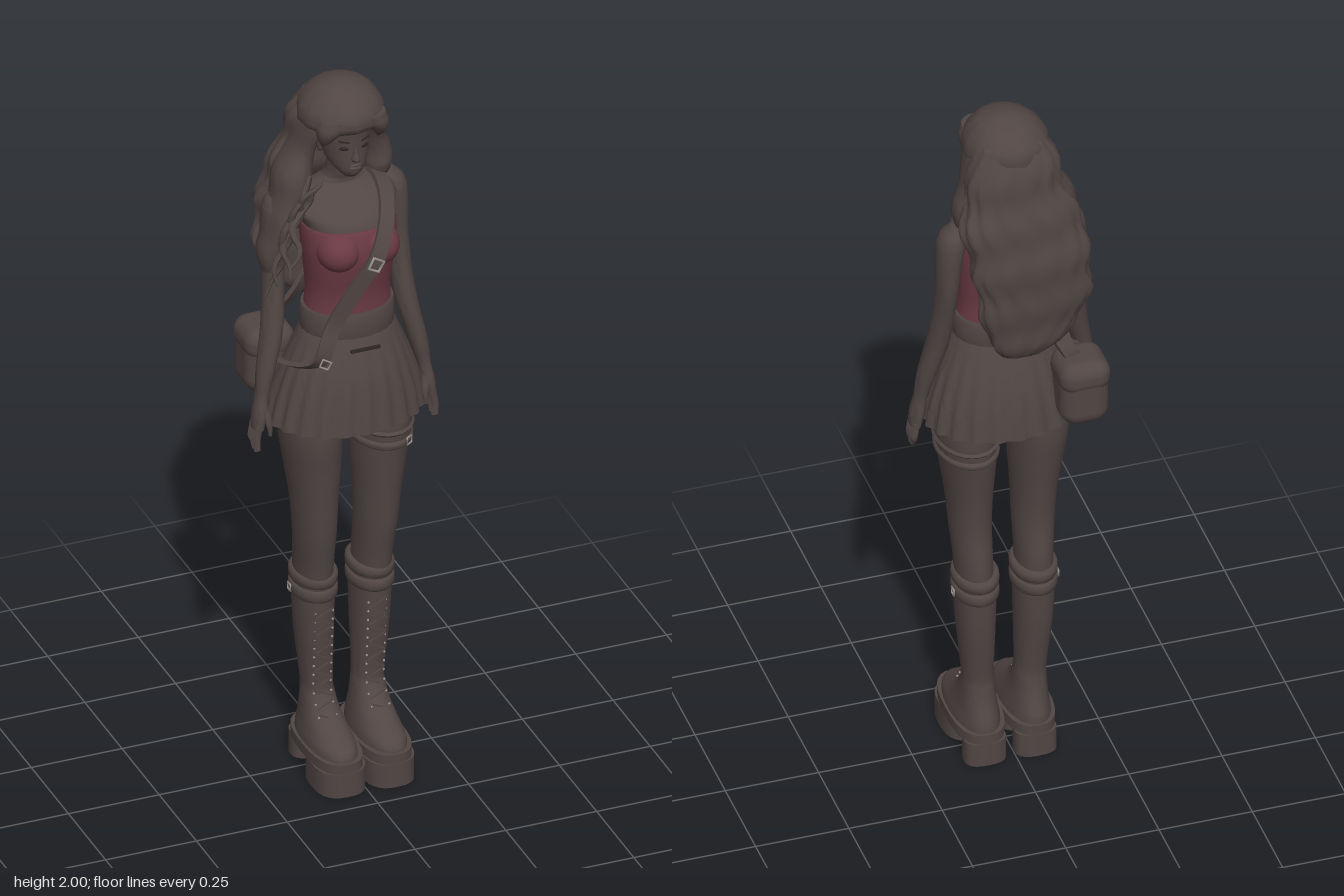
import * as THREE from 'three';
import { toCreasedNormals } from 'three/addons/utils/BufferGeometryUtils.js';
import { RoundedBoxGeometry } from 'three/addons/geometries/RoundedBoxGeometry.js';

const mat = (name, color) => new THREE.MeshStandardMaterial({ name, color, side: THREE.DoubleSide });
const umber = mat('umber', 0x514644);
const wine = mat('wine', 0x6b3a44);
const steel = mat('steel', 0x9a9490);
const dark = mat('dark', 0x2e2726);

// Joins rings of points into one surface
function skin(rings, { closed = false, bottom = true, top = true, crease = 0.8 } = {}) {
  const n = rings[0].length, R = rings.length, pos = [], idx = [];
  rings.forEach(r => r.forEach(p => pos.push(p.x, p.y, p.z)));
  for (let i = 0; i < (closed ? R : R - 1); i++) for (let j = 0; j < n; j++) {
    const k = (j + 1) % n, u = ((i + 1) % R) * n, v = i * n;
    idx.push(v + j, v + k, u + j, v + k, u + k, u + j);
  }
  const cap = (row, up) => {
    const c = rings[row].reduce((s, p) => s.add(p), new THREE.Vector3()).divideScalar(n);
    const m = pos.length / 3;
    pos.push(c.x, c.y, c.z);
    for (let j = 0; j < n; j++) {
      const a = row * n + j, b = row * n + (j + 1) % n;
      idx.push(m, up ? a : b, up ? b : a);
    }
  };
  if (!closed && bottom) cap(0, false);
  if (!closed && top) cap(R - 1, true);
  const g = new THREE.BufferGeometry();
  g.setAttribute('position', new THREE.Float32BufferAttribute(pos, 3));
  g.setIndex(idx);
  return toCreasedNormals(g, crease);
}

// Smooth stack of rounded sections, each [y, xMin, xMax, zMin, zMax]
function loft(sections, { seg = 28, steps = 5, p = 1, mod = () => 1, ...opt } = {}) {
  const s = sections[0][0] > sections.at(-1)[0] ? [...sections].reverse() : sections;
  const mid = new THREE.CatmullRomCurve3(s.map(q => new THREE.Vector3((q[1] + q[2]) / 2, q[0], (q[3] + q[4]) / 2)), false, 'catmullrom');
  const rad = new THREE.CatmullRomCurve3(s.map(q => new THREE.Vector3((q[2] - q[1]) / 2, 0, (q[4] - q[3]) / 2)), false, 'catmullrom');
  const pw = v => Math.sign(v) * Math.abs(v) ** p, rings = [], N = (s.length - 1) * steps;
  for (let i = 0; i <= N; i++) {
    const c = mid.getPoint(i / N), r = rad.getPoint(i / N), ring = [];
    for (let j = 0; j < seg; j++) {
      const a = j / seg * Math.PI * 2, k = mod(a, c.y);
      ring.push(new THREE.Vector3(c.x + r.x * pw(Math.sin(a)) * k, c.y, c.z + r.z * pw(Math.cos(a)) * k));
    }
    rings.push(ring);
  }
  return skin(rings, opt);
}

// Mirrors sections about the line x = m / 2
const flip = (s, m) => s.map(([y, a, b, c, d]) => [y, m - b, m - a, c, d]);

export function createModel() {
  const model = new THREE.Group();
  const add = (name, geo, m = umber, pos = [0, 0, 0], rot = [0, 0, 0], scl = [1, 1, 1]) => {
    const o = new THREE.Mesh(geo, m);
    o.name = name;
    o.position.set(...pos); o.rotation.set(...rot); o.scale.set(...scl);
    model.add(o);
    return o;
  };
  const band = (name, y0, y1, b) => add(name, loft([
    [y0, b[0] + .006, b[1] - .006, b[2] + .006, b[3] - .006], [y0 + .006, ...b], [y1 - .006, ...b],
    [y1, b[0] + .006, b[1] - .006, b[2] + .006, b[3] - .006]], { steps: 2 }));
  const buckle = (name, r, pos, ry, rz = 0) => {
    const g = new THREE.TorusGeometry(r, r * .2, 6, 4);
    g.rotateZ(Math.PI / 4 + rz);
    add(name, g, steel, pos, [0, ry, 0]);
  };

  // Head and face
  add('head', loft([[1.748, -.008, .028, .025, .058], [1.765, -.025, .045, -.01, .072], [1.79, -.043, .063, -.06, .075],
    [1.83, -.053, .073, -.08, .075], [1.87, -.058, .078, -.09, .077], [1.91, -.06, .08, -.1, .08], [1.96, -.045, .065, -.08, .05]]));
  add('nose', loft([[1.8, .004, .016, .065, .078], [1.81, -.002, .022, .06, .093], [1.83, .003, .017, .06, .086], [1.86, .006, .014, .06, .078]], { seg: 10 }));
  for (const [y, h] of [[1.79, .004], [1.781, .005]])
    add('lip', new THREE.SphereGeometry(1, 12, 8), umber, [.01, y, .073], [0, 0, 0], [.017, h, .007]);
  for (const s of [-1, 1]) {
    add('eye', new THREE.SphereGeometry(1, 12, 8), dark, [.01 + s * .028, 1.84, .066], [0, s * .4, 0], [.013, .006, .004]);
    add('eyebrow', new THREE.BoxGeometry(.028, .004, .006), dark, [.01 + s * .029, 1.861, .068], [0, s * .4, s * .12]);
    add('ear', new THREE.SphereGeometry(1, 10, 8), umber, [.01 + s * .064, 1.825, -.01], [0, 0, 0], [.009, .024, .015]);
  }

  // Hair: crown with fringe, back curtain, side locks, loose wisps
  const wavy = (a, y) => 1 + .03 * Math.cos(13 * a + 2 * Math.sin(25 * y)) + .045 * Math.sin(48 * y + Math.sin(a));
  const crown = loft([[1.885, -.1, .112, -.13, .08], [1.905, -.106, .118, -.137, .1], [1.94, -.098, .11, -.132, .095],
    [1.975, -.068, .084, -.1, .062], [1.993, -.035, .05, -.06, .025], [2, -.01, .025, -.03, -.005]],
    { seg: 48, mod: a => 1 + .012 * Math.cos(15 * a), crease: 1.2 });
  add('hairCrown', crown);
  for (const s of [-1, 1]) {
    const fringe = [[1.845, .083, .09, .03, .045], [1.87, .066, .102, .025, .075], [1.9, .035, .108, .015, .092], [1.93, .01, .1, .01, .093]];
    add('fringe', loft(s > 0 ? fringe : flip(fringe, .02), { seg: 16 }));
  }
  add('backHair', loft([[1.95, -.08, .09, -.12, 0], [1.9, -.108, .118, -.14, -.005], [1.82, -.125, .13, -.157, -.02], [1.75, -.15, .15, -.17, -.035],
    [1.68, -.17, .145, -.182, -.07], [1.6, -.178, .13, -.19, -.085], [1.5, -.182, .115, -.187, -.092], [1.42, -.155, .1, -.18, -.095],
    [1.36, -.11, .08, -.175, -.1], [1.32, -.06, .05, -.16, -.115]], { seg: 64, mod: wavy, p: .85, crease: 1.3 }));
  add('leftLock', loft([[1.66, .105, .135, -.08, -.035], [1.71, .08, .152, -.1, 0], [1.76, .085, .155, -.1, 0],
    [1.82, .075, .132, -.1, .01], [1.9, .07, .116, -.1, .04]], { mod: wavy, crease: 1.3 }));
  add('rightLock', loft([[1.9, -.1, -.05, -.1, .04], [1.82, -.125, -.06, -.1, .02], [1.75, -.165, -.07, -.1, .025], [1.68, -.18, -.085, -.1, .03],
    [1.6, -.195, -.115, -.1, .025], [1.52, -.212, -.14, -.09, .01], [1.43, -.19, -.165, -.05, -.02]], { mod: wavy, crease: 1.3 }));
  for (let i = 0; i < 4; i++) {
    const w = [];
    for (let k = 0; k <= 8; k++) {
      const t = k / 8, x = -.1 - .1 * Math.sqrt(t) + .014 * Math.sin(t * 11 + i * 1.7) + i * .008;
      const z = .035 + i * .016 + .02 * Math.sin(t * 5 + i), r = .002 + .009 * Math.sin(Math.PI * (.1 + .85 * t));
      w.push([1.76 - t * (.34 - i * .04), x - r, x + r, z - r, z + r]);
    }
    add('wisp', loft(w, { seg: 8, steps: 4 }));
  }

  // Neck, shoulders and bodice
  add('chest', loft([[1.55, -.1, .12, -.07, .12], [1.62, -.112, .132, -.085, .112], [1.66, -.135, .15, -.085, .07], [1.69, -.105, .125, -.08, .03],
    [1.71, -.05, .07, -.072, .012], [1.735, -.032, .052, -.062, .018], [1.79, -.03, .05, -.055, .03]], { p: .9 }));
  add('bodice', loft([[1.35, -.105, .125, -.07, .104], [1.42, -.1, .12, -.07, .108], [1.5, -.108, .128, -.077, .125],
    [1.55, -.113, .133, -.083, .132], [1.6, -.115, .135, -.088, .124], [1.615, -.114, .134, -.088, .118]], { p: .9, seg: 36 }), wine);
  for (const s of [-1, 1])
    add('bust', new THREE.SphereGeometry(1, 24, 16), wine, [.01 + s * .055, 1.56, .09], [0, 0, 0], [.056, .056, .063]);

  // Pleated skirt over the hips
  band('waistband', 1.29, 1.37, [-.114, .134, -.084, .117]);
  add('skirt', loft([[1.045, -.202, .214, -.145, .168], [1.12, -.184, .2, -.135, .16], [1.2, -.158, .176, -.118, .147],
    [1.28, -.125, .145, -.092, .124], [1.31, -.111, .131, -.082, .114]],
    { seg: 132, bottom: false, top: false, crease: 1.2, mod: (a, y) => 1 + .028 * Math.min(1, (1.31 - y) * 5) * Math.cos(22 * a) }));
  add('hips', loft([[1.03, -.1, .12, -.08, .08], [1.1, -.16, .18, -.11, .11], [1.2, -.145, .165, -.105, .115], [1.3, -.11, .13, -.08, .11]]));
  add('skirtSlit', new THREE.BoxGeometry(.08, .007, .008), dark, [.015, 1.275, .13]);

  // Arms and hands
  const arm = [[1.695, .115, .16, -.07, -.025], [1.66, .115, .192, -.088, -.002], [1.6, .13, .2, -.092, .002], [1.5, .142, .2, -.087, 0],
    [1.4, .147, .204, -.066, .01], [1.3, .158, .216, -.045, .025], [1.2, .185, .234, -.025, .035], [1.13, .205, .241, -.012, .036],
    [1.08, .212, .25, -.014, .046], [1.04, .222, .252, -.012, .046]];
  for (const s of [1, -1]) {
    const side = q => s > 0 ? q : flip(q, 0), label = s > 0 ? 'left' : 'right';
    add(label + 'Arm', loft(side(arm), { seg: 20 }));
    for (let f = 0; f < 4; f++) {
      const z = -.006 + f * .0145, e = .975 + [.018, .003, 0, .01][f];
      add(label + 'Finger', loft(side([[1.055, .229, .247, z - .007, z + .007], [1.01, .236, .254, z - .007, z + .007],
        [e, .238, .25, z + .001, z + .01]]), { seg: 8 }));
    }
    add(label + 'Thumb', loft(side([[1.1, .212, .232, .02, .04], [1.06, .206, .224, .033, .05], [1.025, .208, .218, .04, .052]]), { seg: 8 }));
  }

  // Legs and laced platform boots
  const leg = [[1.12, .015, .185, -.105, .105], [1, .026, .185, -.11, .112], [.9, .03, .172, -.095, .1], [.8, .037, .157, -.08, .09],
    [.7, .04, .148, -.075, .08], [.6, .042, .14, -.088, .062], [.5, .042, .138, -.09, .05]];
  const boot = [[.54, .035, .141, -.095, .053], [.4, .038, .136, -.088, .046], [.25, .04, .122, -.067, .032], [.21, .037, .122, -.068, .04],
    [.17, .032, .126, -.076, .075], [.135, .024, .132, -.088, .135], [.11, .018, .138, -.096, .178], [.08, .014, .142, -.098, .186]];
  for (const s of [1, -1]) {
    const side = q => s > 0 ? q : flip(q, .02), label = s > 0 ? 'left' : 'right', X = x => s > 0 ? x : .02 - x;
    add(label + 'Leg', loft(side(leg)));
    add(label + 'Boot', loft(side(boot), { p: .92 }));
    for (const [y0, y1] of [[.5, .535], [.54, .572]])
      band(label + 'Cuff', y0, y1, side([[0, .028, .148, -.102, .06]])[0].slice(1));
    buckle(label + 'CuffBuckle', .013, [X(.15), .518, -.03], Math.PI / 2);
    const slab = (name, y0, y1, b) => add(label + name, loft(side([[y0, ...b], [y1, ...b]]), { p: .75, steps: 1 }));
    slab('Sole', .066, .095, [.009, .146, -.104, .193]);
    slab('Platform', 0, .068, [.01, .145, .012, .194]);
    slab('Heel', 0, .068, [.022, .133, -.105, -.025]);
    for (let i = 0; i < 12; i++) {
      const y = .17 + i * .027, z = y > .25 ? .034 + (y - .25) * .075 : .034 + (.25 - y) ** 2 * 6;
      add(label + 'Lace', new THREE.BoxGeometry(.05, .003, .004), umber, [X(.083), y, z], [0, 0, i % 2 ? .45 : -.45]);
      for (const d of [-.024, .024])
        add(label + 'Eyelet', new THREE.SphereGeometry(.0035, 6, 4), steel, [X(.083 + d), y, z - .007]);
    }
  }

  // Garter on the left thigh
  band('garterLower', .945, .968, [.022, .187, -.112, .115]);
  band('garterUpper', .985, 1, [.02, .19, -.115, .117]);
  buckle('garterBuckle', .014, [.15, .957, .095], .6);

  // Cross-body strap and bag on the right hip
  const path = new THREE.CatmullRomCurve3([[-.105, 1.25, .105], [-.062, 1.36, .112], [-.01, 1.47, .138], [.035, 1.55, .153], [.075, 1.63, .118],
    [.1, 1.685, .045], [.1, 1.7, -.03], [.075, 1.65, -.09], [.01, 1.52, -.09], [-.07, 1.38, -.08], [-.15, 1.25, -.11], [-.17, 1.22, 0]]
    .map(q => new THREE.Vector3(...q)), true);
  const heart = new THREE.Vector3(.01, 1.45, .01), rings = [];
  for (let i = 0; i < 96; i++) {
    const c = path.getPoint(i / 96), t = path.getTangent(i / 96);
    const n = c.clone().sub(heart).projectOnPlane(t).normalize(), b = t.clone().cross(n);
    rings.push([[.009, -1], [.009, 1], [-.003, 1], [-.003, -1]]
      .map(([h, w]) => c.clone().addScaledVector(n, h).addScaledVector(b, w * .02)));
  }
  add('strap', skin(rings, { closed: true }));
  buckle('strapBuckle', .022, [.03, 1.54, .166], 0, -.5);
  buckle('strapEndBuckle', .016, [-.093, 1.25, .125], -.4, -.4);
  add('bag', new RoundedBoxGeometry(.13, .19, .135, 5, .045), umber, [-.162, 1.17, -.122]);
  add('bagFlap', new RoundedBoxGeometry(.136, .09, .141, 5, .04), umber, [-.162, 1.222, -.122]);
  return model;
}
